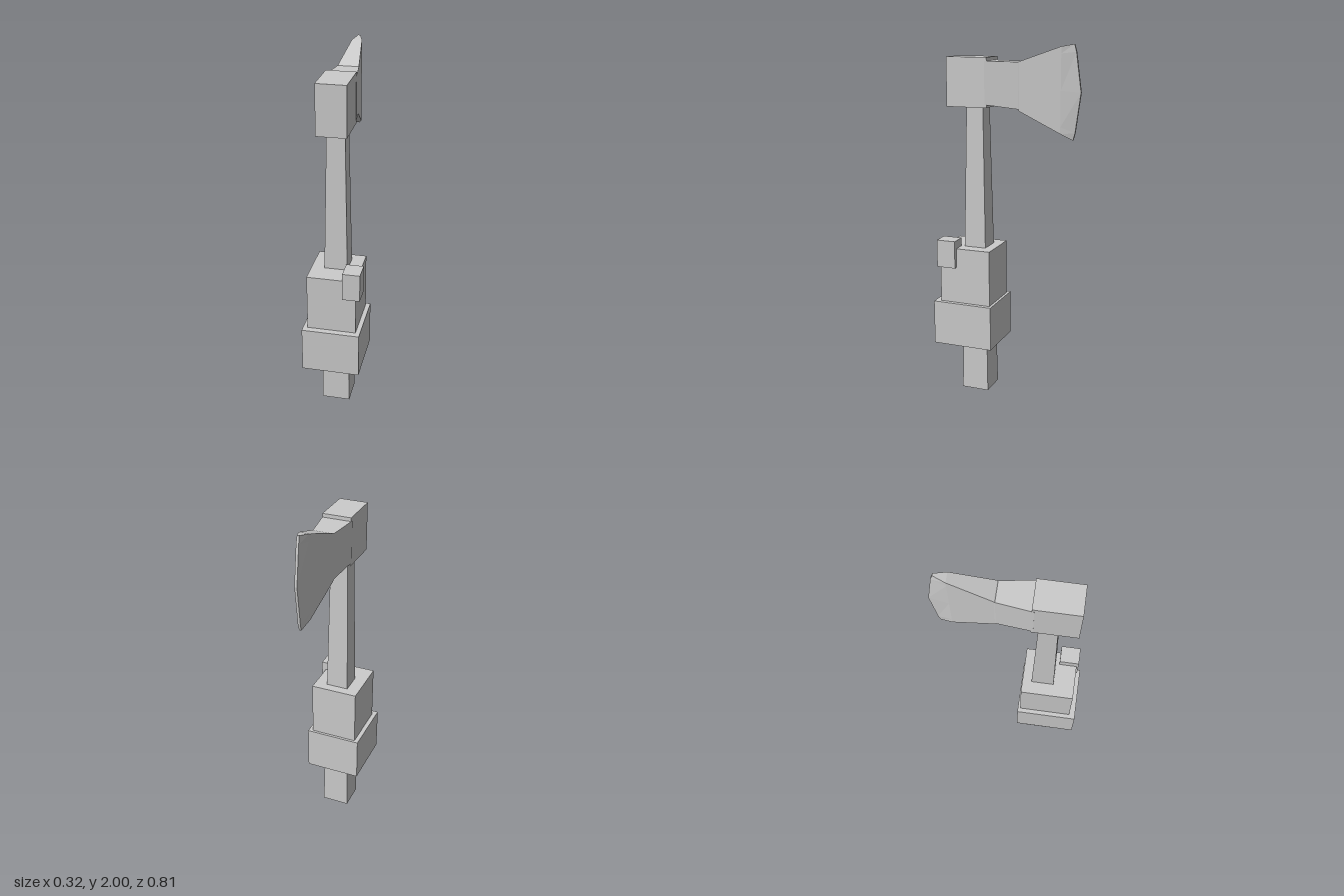
import * as THREE from 'three';

const material = new THREE.MeshStandardMaterial({ color: 0xcccccc, flatShading: true });

// Box given by its extents on each axis
function box(name, [x0, x1], [y0, y1], [z0, z1]) {
  const mesh = new THREE.Mesh(new THREE.BoxGeometry(x1 - x0, y1 - y0, z1 - z0), material);
  mesh.position.set((x0 + x1) / 2, (y0 + y1) / 2, (z0 + z1) / 2);
  mesh.name = name;
  return mesh;
}

// Mirrored loft: each section is a bottom-to-top list of [halfWidth, y, z]
function loft(sections) {
  const rows = sections[0].length;
  const positions = [];
  const quad = (a, b, c, d) => positions.push(...a, ...b, ...c, ...a, ...c, ...d);
  const loops = sections.map((s) => [
    ...s,
    ...[...s].reverse().map(([x, y, z]) => [-x, y, z]),
  ]);
  const n = rows * 2;
  for (let s = 0; s < loops.length - 1; s++) {
    for (let i = 0; i < n; i++) {
      const j = (i + 1) % n;
      quad(loops[s][i], loops[s + 1][i], loops[s + 1][j], loops[s][j]);
    }
  }
  const first = loops[0];
  const last = loops[loops.length - 1];
  for (let i = 0; i < rows - 1; i++) {
    quad(first[i], first[i + 1], first[n - 2 - i], first[n - 1 - i]);
    quad(last[n - 1 - i], last[n - 2 - i], last[i + 1], last[i]);
  }
  const geometry = new THREE.BufferGeometry();
  geometry.setAttribute('position', new THREE.Float32BufferAttribute(positions, 3));
  geometry.computeVertexNormals();
  return geometry;
}

// Flat cross-section of the blade, split into four bands
function section(z, half, bottom, top) {
  return [0, 0.08, 0.5, 0.92, 1].map((t) => [half, bottom + (top - bottom) * t, z]);
}

export function createModel() {
  const group = new THREE.Group();

  // Square handle, tapering towards the head
  const handleGeometry = new THREE.CylinderGeometry(
    0.048 * Math.SQRT2, 0.08 * Math.SQRT2, 1.7, 4);
  handleGeometry.rotateY(Math.PI / 4);
  const handle = new THREE.Mesh(handleGeometry, material);
  handle.position.set(0, 0.85, 0.186);
  handle.name = 'handle';
  group.add(handle);

  // Blocky fist around the handle
  group.add(
    box('wrist', [-0.16, 0.16], [0.29, 0.545], [0.055, 0.405]),
    box('palm', [-0.135, 0.135], [0.54, 0.865], [0.07, 0.37]),
    box('thumb', [0.063, 0.159], [0.755, 0.912], [0.27, 0.38]),
  );

  // Axe head: poll block and flaring blade with a curved cutting edge
  group.add(box('poll', [-0.08, 0.08], [1.658, 1.928], [0.102, 0.34]));
  const blade = new THREE.Mesh(loft([
    section(0.114, 0.082, 1.675, 1.908),
    section(-0.072, 0.057, 1.655, 1.905),
    section(-0.076, 0.056, 1.645, 1.908),
    section(-0.3, 0.028, 1.53, 1.988),
    [
      [0.006, 1.495, -0.365],
      [0.007, 1.535, -0.376],
      [0.007, 1.75, -0.405],
      [0.007, 1.96, -0.376],
      [0.006, 2, -0.365],
    ],
  ]), material);
  blade.name = 'blade';
  group.add(blade);

  return group;
}
